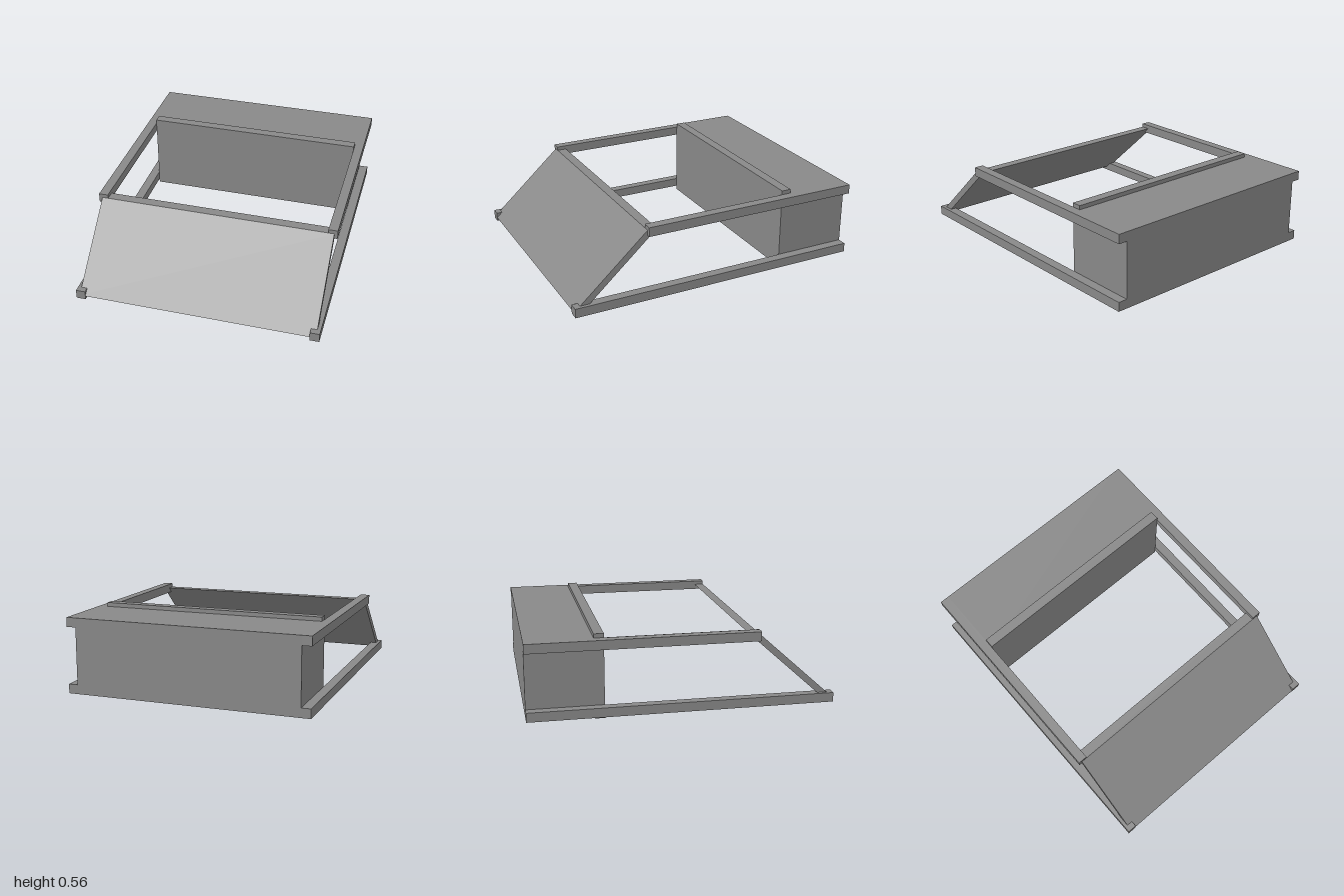
import * as THREE from 'three';

const material = new THREE.MeshStandardMaterial({ color: 0x888888, flatShading: true });

// Box given by its [min, max] ranges on each axis
function addBox(group, name, [x0, x1], [y0, y1], [z0, z1]) {
  const mesh = new THREE.Mesh(new THREE.BoxGeometry(x1 - x0, y1 - y0, z1 - z0), material);
  mesh.position.set((x0 + x1) / 2, (y0 + y1) / 2, (z0 + z1) / 2);
  mesh.name = name;
  group.add(mesh);
}

export function createModel() {
  const group = new THREE.Group();
  group.name = 'slopedFrame';

  // Side rails: long lower pair, shorter upper pair
  for (const [side, x] of [['left', [0.75, 0.8125]], ['right', [-0.8125, -0.75]]]) {
    addBox(group, side + 'LowerRail', x, [0.027, 0.089], [-1, 1]);
    addBox(group, side + 'UpperRail', x, [0.466, 0.528], [-1, 0.5]);
  }

  // Closed box at the back, set between the rails and flush above and below
  addBox(group, 'rearBox', [-0.75, 0.75], [0.027, 0.528], [-1, -0.5]);

  // Cross strips along the front edge of the box
  addBox(group, 'upperCrossStrip', [-0.75, 0.75], [0.5, 0.555], [-0.565, -0.5]);
  addBox(group, 'lowerCrossStrip', [-0.75, 0.75], [0, 0.055], [-0.565, -0.5]);

  // Sloping front panel: parallelogram in (z, y), extruded along x
  const profile = new THREE.Shape([[0.5, 0.502], [0.435, 0.502], [0.935, 0.053], [1, 0.053]]
    .map(([z, y]) => new THREE.Vector2(-z, y)));
  const geometry = new THREE.ExtrudeGeometry(profile, { depth: 1.58, bevelEnabled: false });
  geometry.translate(0, 0, -0.79).rotateY(Math.PI / 2);
  const panel = new THREE.Mesh(geometry, material);
  panel.name = 'slopedFrontPanel';
  group.add(panel);

  return group;
}
